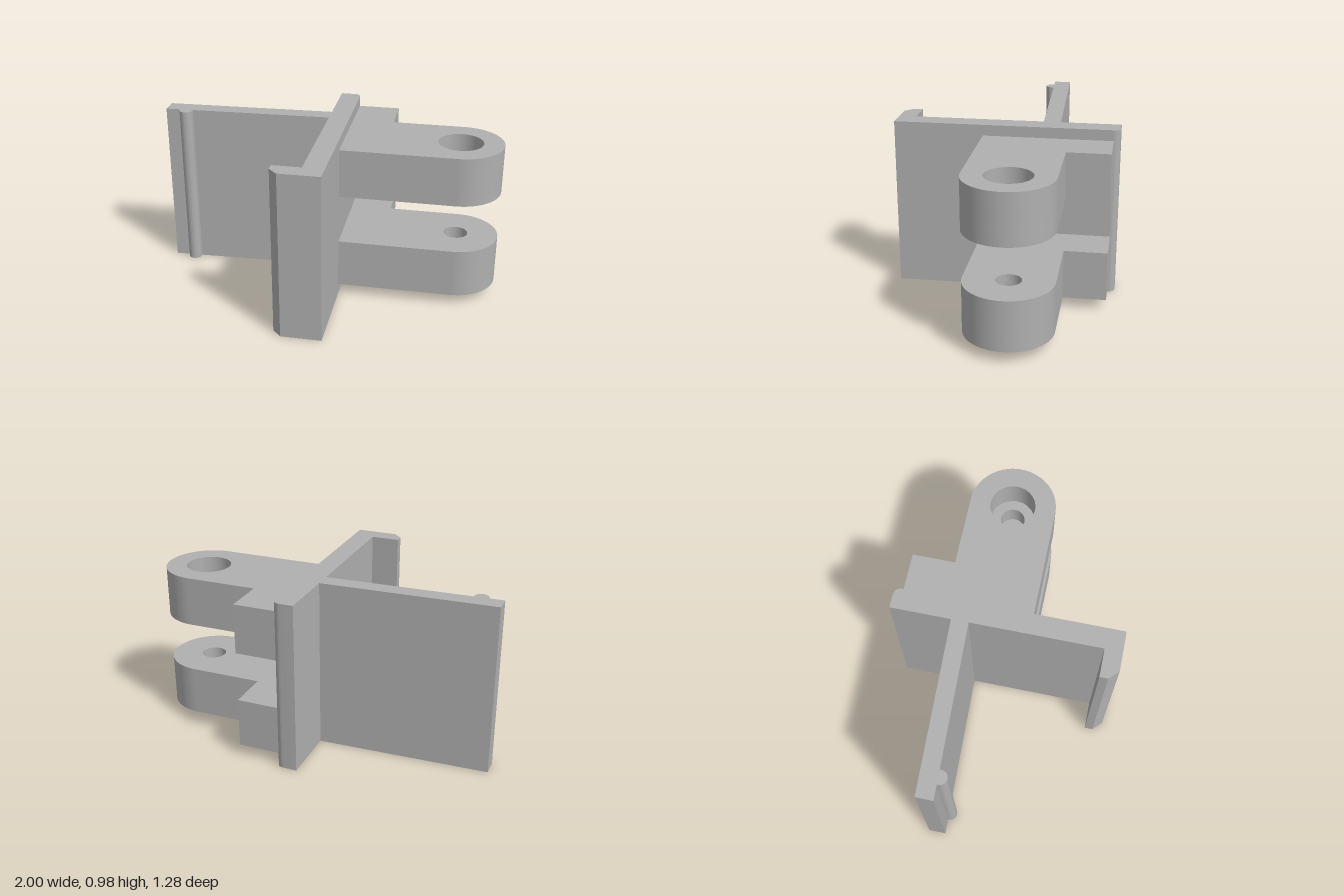
import * as THREE from 'three';
import { toCreasedNormals } from 'three/addons/utils/BufferGeometryUtils.js';

const grey = new THREE.MeshStandardMaterial({ color: 0xb0b0b0 });
grey.name = 'grey plastic';

// Extrudes a plan outline (shape y = -z) upward from y0 to y1
function extrudeUp(name, shape, y0, y1) {
  const geo = new THREE.ExtrudeGeometry(shape, { depth: y1 - y0, bevelEnabled: false, curveSegments: 32 });
  geo.rotateX(-Math.PI / 2);
  geo.translate(0, y0, 0);
  const mesh = new THREE.Mesh(toCreasedNormals(geo, 0.5), grey);
  mesh.name = name;
  return mesh;
}

// Plate with end hook, tapered side arm and snap bead, in one outline
function bracketShape() {
  const s = new THREE.Shape();
  s.moveTo(0.10, -0.64);
  s.lineTo(0.10, 0.60);
  s.absarc(0.06, 0.60, 0.04, 0, Math.PI / 2, false);
  s.lineTo(-0.02, 0.64);
  s.lineTo(-0.02, 0.298);
  s.lineTo(-1, 0.263);
  s.lineTo(-1, 0.165);
  s.lineTo(-0.915, 0.168);
  s.lineTo(-0.915, 0.16);
  s.absarc(-0.876, 0.16, 0.039, Math.PI, Math.PI * 2, false);
  s.lineTo(-0.837, 0.171);
  s.lineTo(-0.02, 0.2);
  s.lineTo(-0.02, -0.54);
  s.lineTo(-0.183, -0.54);
  s.lineTo(-0.183, -0.588);
  s.lineTo(-0.132, -0.64);
  s.closePath();
  return s;
}

// Round-ended lug with a shoulder and a pin hole
function lugShape(holeRadius) {
  const s = new THREE.Shape();
  s.moveTo(0.10, -0.13);
  s.lineTo(0.755, -0.13);
  s.absarc(0.755, 0.115, 0.245, -Math.PI / 2, Math.PI / 2, false);
  s.lineTo(0.342, 0.36);
  s.lineTo(0.342, 0.603);
  s.lineTo(0.10, 0.603);
  s.closePath();
  const hole = new THREE.Path();
  hole.absarc(0.755, 0.115, holeRadius, 0, Math.PI * 2, true);
  s.holes.push(hole);
  return s;
}

// Lug with a stepped hole: one radius below the step, another above
function lug(name, y0, step, y1, lowerRadius, upperRadius) {
  const g = new THREE.Group();
  g.name = name;
  g.add(extrudeUp(name + 'Base', lugShape(lowerRadius), y0, step));
  g.add(extrudeUp(name + 'Top', lugShape(upperRadius), step, y1));
  return g;
}

export function createModel() {
  const model = new THREE.Group();
  model.name = 'hingeBracket';
  model.add(extrudeUp('clipPlate', bracketShape(), 0, 0.98));
  model.add(lug('lowerLug', 0.064, 0.31, 0.348, 0.08, 0.07));
  model.add(lug('upperLug', 0.634, 0.75, 0.918, 0.07, 0.128));
  return model;
}
